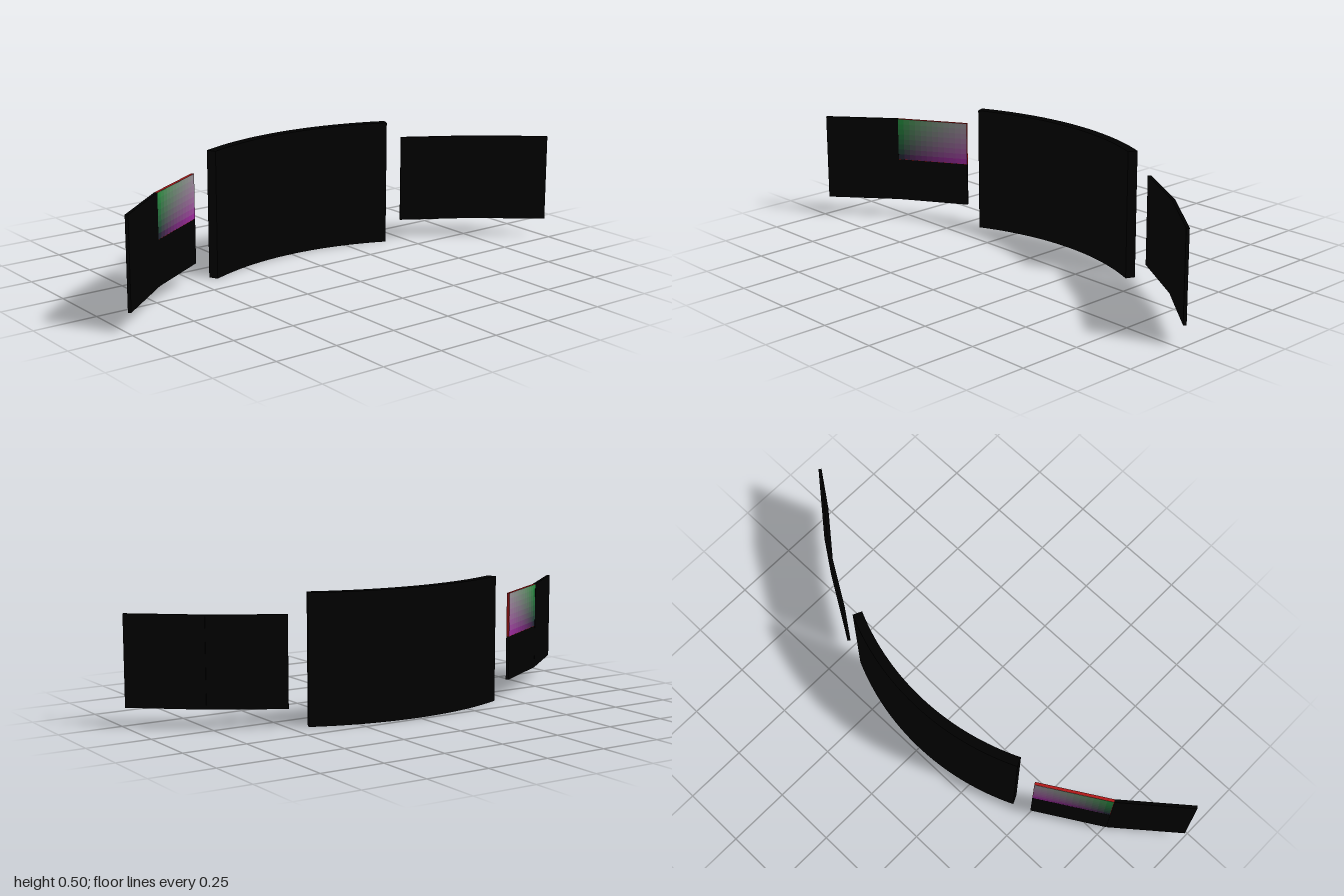
import * as THREE from 'three';

const TILE_H = 0.175, THICK = 0.012, BASE_Y = 0.075;
const black = new THREE.MeshStandardMaterial({ color: 0x000000 });
const red = new THREE.MeshStandardMaterial({ color: 0xb01818 });

function box(name, w, h, d, material) {
  const mesh = new THREE.Mesh(new THREE.BoxGeometry(w, h, d), material);
  mesh.name = name;
  return mesh;
}

// Thick curved slab: an arc-shaped plan extruded upwards
function curvedScreen() {
  const outer = 1.04, inner = 1.002, half = 0.426, centreZ = 0.807;
  const plan = new THREE.Shape();
  plan.absarc(0, -centreZ, outer, Math.PI / 2 + half, Math.PI / 2 - half, true);
  plan.absarc(0, -centreZ, inner, Math.PI / 2 - half, Math.PI / 2 + half, false);
  const geometry = new THREE.ExtrudeGeometry(plan, { depth: 0.5, bevelEnabled: false, curveSegments: 32 });
  geometry.rotateX(-Math.PI / 2);
  const mesh = new THREE.Mesh(geometry, black);
  mesh.name = 'curvedScreen';
  return mesh;
}

// Red-edged tile whose faces blend between four corner colours
function colourTile(width) {
  const tile = new THREE.Group();
  tile.add(box('tileEdge', width, TILE_H, THICK - 0.001, red));
  const [topLeft, topRight, bottomLeft, bottomRight] =
    [0x129038, 0x999399, 0x080828, 0xa010a0].map((c) => new THREE.Color(c));
  const cols = 12, rows = 8;
  const w = (width - 0.002) / cols, h = (TILE_H - 0.002) / rows;
  for (let i = 0; i < cols; i++) {
    for (let j = 0; j < rows; j++) {
      const u = (i + 0.5) / cols, v = (j + 0.5) / rows;
      const color = bottomLeft.clone().lerp(bottomRight, u)
        .lerp(topLeft.clone().lerp(topRight, u), v);
      const patch = box('colourPatch', w, h, THICK, new THREE.MeshStandardMaterial({ color }));
      patch.position.set((i + 0.5 - cols / 2) * w, (j + 0.5 - rows / 2) * h, 0);
      tile.add(patch);
    }
  }
  return tile;
}

// Side wall of two columns by two rows of thin tiles; side is +1 or -1
function sideWall(side) {
  const wall = new THREE.Group();
  wall.name = side > 0 ? 'leftWall' : 'rightWall';
  const path = [[0.505, -0.124], [0.761, 0.032], [0.995, 0.226]];
  for (let col = 0; col < 2; col++) {
    const [x0, z0] = path[col], [x1, z1] = path[col + 1];
    const width = Math.hypot(x1 - x0, z1 - z0);
    for (let row = 0; row < 2; row++) {
      const coloured = side < 0 && col === 0 && row === 1;
      const tile = coloured ? colourTile(width) : box('tile', width, TILE_H, THICK, black);
      tile.name = coloured ? 'colourTile' : 'tile';
      tile.position.set(side * (x0 + x1) / 2, BASE_Y + (row + 0.5) * TILE_H, (z0 + z1) / 2);
      tile.rotation.y = -side * Math.atan2(z1 - z0, x1 - x0);
      wall.add(tile);
    }
  }
  return wall;
}

export function createModel() {
  const model = new THREE.Group();
  model.name = 'screenWall';
  model.add(curvedScreen(), sideWall(1), sideWall(-1));
  return model;
}
